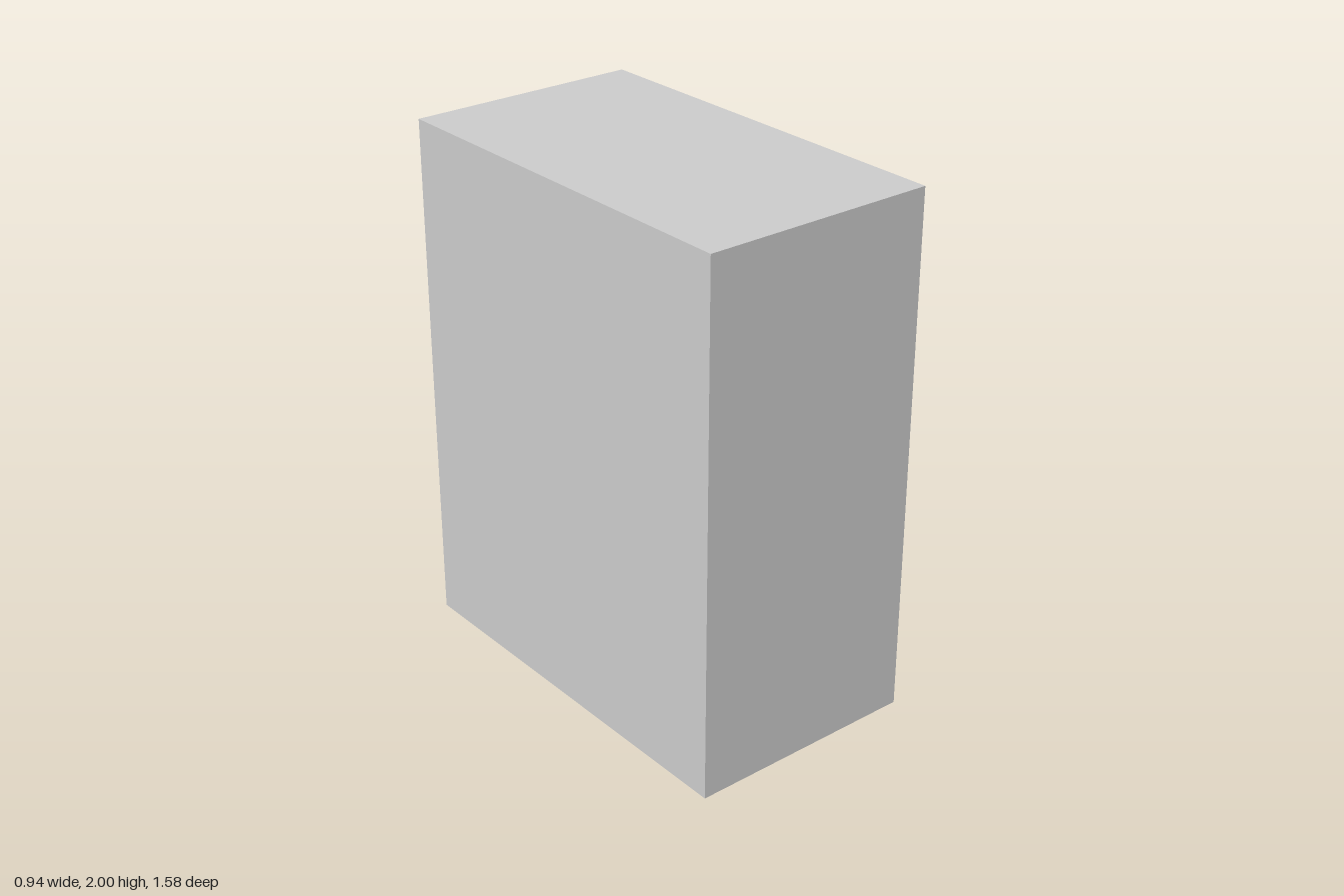
import * as THREE from 'three';

const grey = new THREE.MeshStandardMaterial({ color: 0xcccccc });
const greyDouble = new THREE.MeshStandardMaterial({ color: 0xcccccc, side: THREE.DoubleSide });
const red = new THREE.MeshStandardMaterial({ color: 0xdd1512 });

const W = 1.58, H = 2, BACK = -0.47, FRONT = 0.43;
const OPEN_W = 1.4, OPEN_H = 1.83, GAP = 0.01, MID = 1.003, GROOVE = 0.02;

function add(parent, name, geometry, material, x = 0, y = 0, z = 0) {
  const mesh = new THREE.Mesh(geometry, material);
  mesh.name = name;
  mesh.position.set(x, y, z);
  parent.add(mesh);
  return mesh;
}

// Box without its +z face
function openBox(w, h, d) {
  const g = new THREE.BoxGeometry(w, h, d);
  const index = Array.from(g.index.array);
  index.splice(24, 6);
  g.setIndex(index);
  g.clearGroups();
  return g;
}

function rect(path, x0, y0, x1, y1) {
  path.moveTo(x0, y0);
  path.lineTo(x1, y0);
  path.lineTo(x1, y1);
  path.lineTo(x0, y1);
  path.closePath();
  return path;
}

function createLock() {
  const lock = new THREE.Group();
  lock.name = 'lock';

  // Rounded rim, rolling over into a shallow dish
  const profile = [
    [0.045, 0.034], [0.05, 0.036], [0.054, 0.039], [0.058, 0.04], [0.063, 0.039],
    [0.067, 0.036], [0.07, 0.031], [0.073, 0.022], [0.076, 0.01], [0.077, 0],
  ].reverse().map(([r, h]) => new THREE.Vector2(r, h));
  const rim = add(lock, 'lockRim', new THREE.LatheGeometry(profile, 40), greyDouble);
  rim.rotation.x = Math.PI / 2;

  // Face disc pierced by the keyhole
  const face = new THREE.Shape().absarc(0, 0, 0.0455, 0, Math.PI * 2);
  face.holes.push(rect(new THREE.Path(), -0.007, -0.03, 0.007, 0.03));
  add(lock, 'lockFace', new THREE.ExtrudeGeometry(face, { depth: 0.024, bevelEnabled: false, curveSegments: 20 }),
    grey, 0, 0, 0.01);
  add(lock, 'keyholeBottom', new THREE.PlaneGeometry(0.02, 0.066), grey, 0, 0, 0.012);
  return lock;
}

export function createModel() {
  const model = new THREE.Group();
  model.name = 'medicineCabinet';

  // Built with the door towards +z, then turned to face +x
  const cabinet = new THREE.Group();
  cabinet.name = 'cabinet';
  cabinet.rotation.y = Math.PI / 2;
  model.add(cabinet);

  // Case: five closed sides and a front frame
  add(cabinet, 'caseSides', openBox(W, H, FRONT - BACK), grey, 0, H / 2, (FRONT + BACK) / 2);
  const frame = rect(new THREE.Shape(), -W / 2, 0, W / 2, H);
  frame.holes.push(rect(new THREE.Path(), -OPEN_W / 2, MID - OPEN_H / 2, OPEN_W / 2, MID + OPEN_H / 2));
  add(cabinet, 'frontFrame', new THREE.ShapeGeometry(frame), grey, 0, 0, FRONT);

  // Groove around the door, and the flush door panel
  add(cabinet, 'doorRecess', openBox(OPEN_W, OPEN_H, GROOVE), greyDouble, 0, MID, FRONT - GROOVE / 2);
  add(cabinet, 'door', new THREE.BoxGeometry(OPEN_W - 2 * GAP, OPEN_H - 2 * GAP, GROOVE - 0.001), grey,
    0, MID, FRONT - (GROOVE - 0.001) / 2);

  // Red cross
  const a = 0.207, b = 0.064;
  const corners = [[b, b], [b, a], [-b, a], [-b, b], [-a, b], [-a, -b],
    [-b, -b], [-b, -a], [b, -a], [b, -b], [a, -b], [a, b]];
  const cross = new THREE.Shape(corners.map(([x, y]) => new THREE.Vector2(x, y)));
  add(cabinet, 'cross', new THREE.ShapeGeometry(cross), red, 0, MID, FRONT + 0.002);

  const lock = createLock();
  lock.position.set(-0.533, MID, FRONT);
  cabinet.add(lock);
  return model;
}
